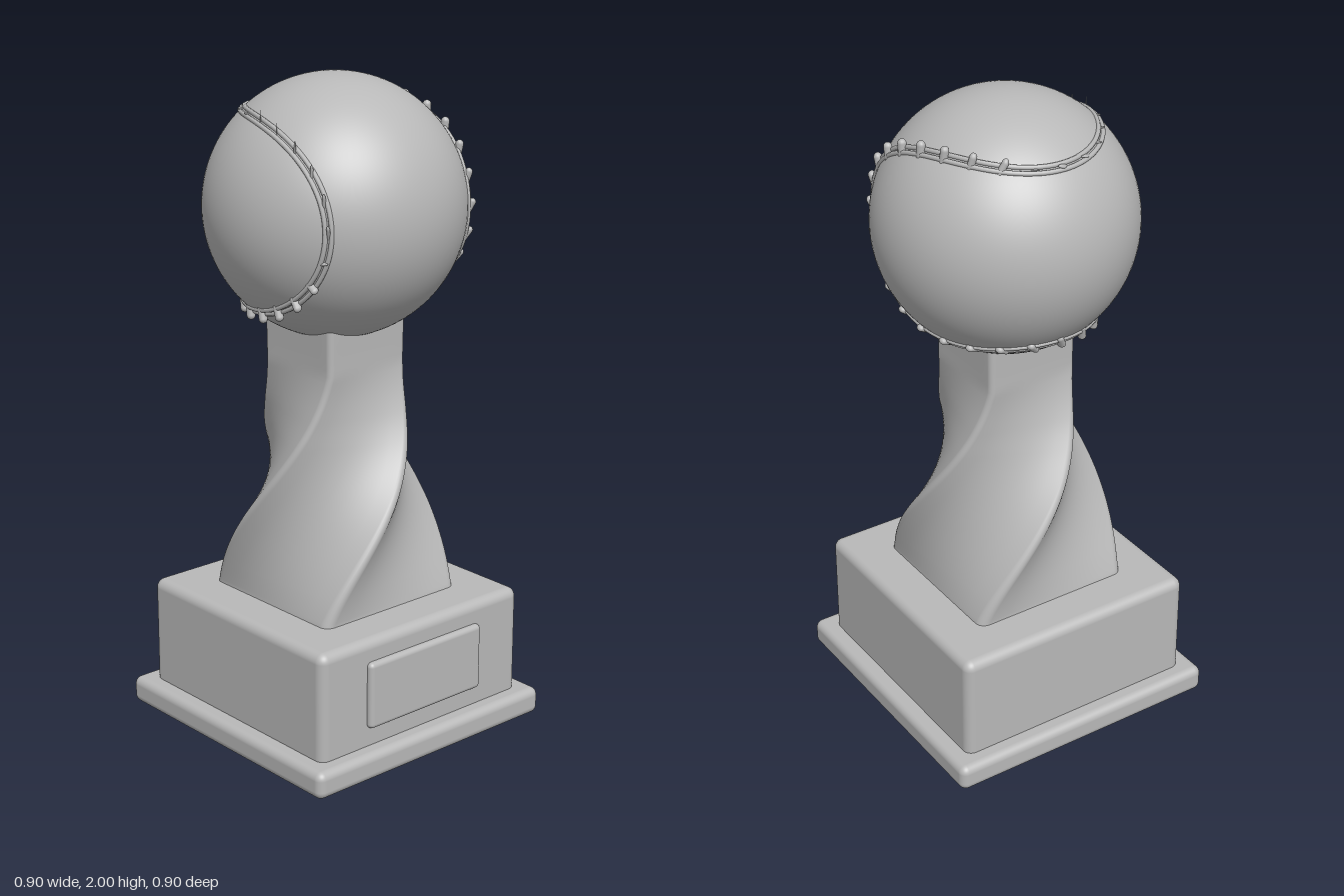
import * as THREE from 'three';
import { RoundedBoxGeometry } from 'three/addons/geometries/RoundedBoxGeometry.js';

const BALL_R = 0.39, BALL_Y = 1.61;

// Square column, twisted a quarter turn while it tapers
function twistedColumn() {
  const halfWidth = new THREE.CatmullRomCurve3([
    [0.40, 0.266], [0.5, 0.252], [0.65, 0.227], [0.78, 0.204], [0.915, 0.178],
    [1.0, 0.162], [1.1, 0.15], [1.3, 0.15],
  ].map(([y, s]) => new THREE.Vector3(s, y, 0)));

  // unit rounded square, in order of rising angle
  const section = [], r = 0.12, k = 1 - r;
  for (let q = 0; q < 4; q++) {
    const turn = q * Math.PI / 2;
    const add = (x, z) => section.push([
      x * Math.cos(turn) - z * Math.sin(turn), x * Math.sin(turn) + z * Math.cos(turn)]);
    for (let i = 0; i < 8; i++) add(1, -k + 2 * k * i / 8);
    for (let i = 0; i < 6; i++) {
      const a = i / 6 * Math.PI / 2;
      add(k + r * Math.cos(a), k + r * Math.sin(a));
    }
  }

  const rows = 64, n = section.length, pos = [], idx = [];
  for (let i = 0; i <= rows; i++) {
    const { x: s, y } = halfWidth.getPoint(i / rows);
    const t = THREE.MathUtils.clamp((y - 0.42) / 0.72, 0, 1);
    const angle = Math.PI / 2 * (0.5 * t + 0.5 * t * t * (3 - 2 * t));
    const c = Math.cos(angle), d = Math.sin(angle);
    for (const [x, z] of section) pos.push(s * (x * c + z * d), y, s * (z * c - x * d));
  }
  for (let i = 0; i < rows; i++) {
    for (let j = 0; j < n; j++) {
      const a = i * n + j, b = i * n + (j + 1) % n;
      idx.push(a, a + n, b, b, a + n, b + n);
    }
  }
  const geo = new THREE.BufferGeometry();
  geo.setAttribute('position', new THREE.Float32BufferAttribute(pos, 3));
  geo.setIndex(idx);
  geo.computeVertexNormals();
  return geo;
}

// Closed seam curve lying on the ball
function seamCurve() {
  const a = 0.33, b = 0.06, c = 2 * Math.sqrt(a * b), pts = [];
  for (let i = 0; i < 120; i++) {
    const t = Math.PI / 4 + i / 120 * Math.PI * 2;
    const p = a * Math.cos(t) + b * Math.cos(3 * t);
    const q = a * Math.sin(t) - b * Math.sin(3 * t);
    pts.push(new THREE.Vector3((p + q) / Math.SQRT2, (q - p) / Math.SQRT2, c * Math.sin(2 * t)));
  }
  const curve = new THREE.CatmullRomCurve3(pts, true);
  curve.arcLengthDivisions = 800;
  return curve;
}

export function createModel() {
  const model = new THREE.Group();
  model.name = 'trophy';
  const grey = new THREE.MeshStandardMaterial({ color: 0xb8b8b8 });
  grey.name = 'grey';

  const add = (parent, name, geo, x = 0, y = 0, z = 0) => {
    const mesh = new THREE.Mesh(geo, grey);
    mesh.name = name;
    mesh.position.set(x, y, z);
    parent.add(mesh);
    return mesh;
  };

  // Stepped base with a blank plaque
  add(model, 'baseSlab', new RoundedBoxGeometry(0.905, 0.085, 0.905, 5, 0.025), 0, 0.0425, 0);
  add(model, 'plinth', new RoundedBoxGeometry(0.8, 0.36, 0.8, 5, 0.03), 0, 0.24, 0);
  add(model, 'plaque', new RoundedBoxGeometry(0.45, 0.21, 0.05, 5, 0.015), 0, 0.247, 0.393);

  add(model, 'column', twistedColumn());

  // Ball with a double seam and stitches
  const ball = new THREE.Group();
  ball.name = 'ball';
  ball.position.y = BALL_Y;
  model.add(ball);
  add(ball, 'ballSurface', new THREE.SphereGeometry(BALL_R, 96, 64));

  const seam = seamCurve();
  const frameAt = (u) => {
    const out = seam.getPointAt(u).normalize();
    const along = seam.getTangentAt(u);
    const across = new THREE.Vector3().crossVectors(along, out).normalize();
    along.crossVectors(out, across);
    return { out, along, across };
  };

  for (const side of [-1, 1]) {
    const pts = [];
    for (let i = 0; i < 120; i++) {
      const { out, across } = frameAt(i / 120);
      pts.push(out.multiplyScalar(BALL_R).addScaledVector(across, side * 0.009));
    }
    const path = new THREE.CatmullRomCurve3(pts, true);
    add(ball, 'seamRidge', new THREE.TubeGeometry(path, 240, 0.007, 8, true));
  }

  const stitchGeo = new THREE.CapsuleGeometry(0.013, 0.038, 5, 12);
  const count = 40;
  for (let i = 0; i < count; i++) {
    const { out, along, across } = frameAt(i / count);
    const stitch = add(ball, 'stitch', stitchGeo);
    stitch.quaternion.setFromRotationMatrix(new THREE.Matrix4().makeBasis(out, across, along.negate()));
    stitch.position.copy(out).multiplyScalar(BALL_R + 0.002);
  }
  return model;
}
